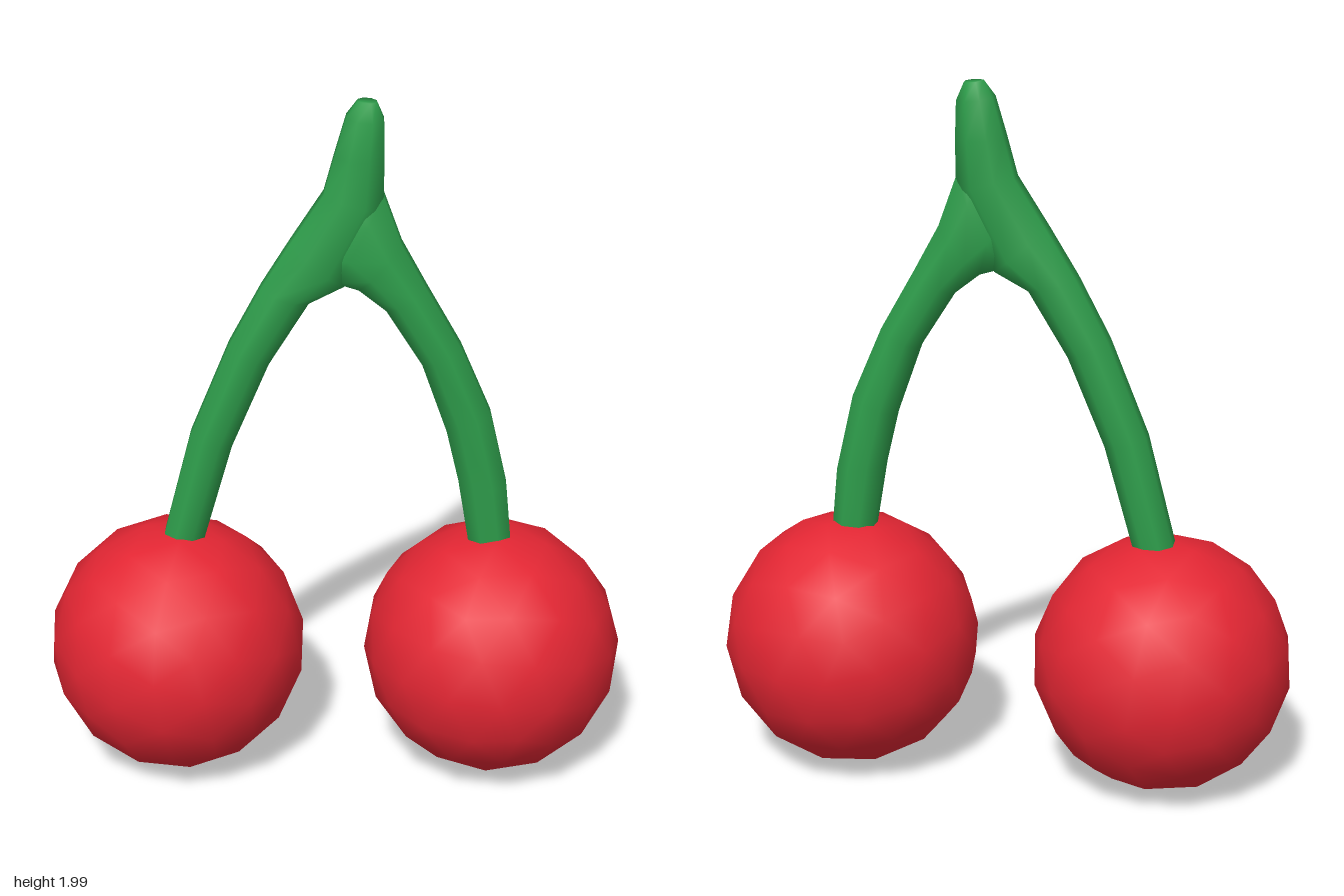
import * as THREE from 'three';

const SIDES = 8;

// Loft through rows of [outerX, outerY, innerX, innerY, halfDepth], running upward
function loft(rows, flip) {
  const pos = [], index = [];
  const k = 1 / Math.cos(Math.PI / SIDES);
  const tri = (a, b, c) => (flip ? index.push(a, c, b) : index.push(a, b, c));
  rows.forEach(([ox, oy, ix, iy, d]) => {
    for (let j = 0; j < SIDES; j++) {
      const a = ((j + 0.5) / SIDES) * Math.PI * 2;
      const c = (Math.cos(a) * k) / 2, s = Math.sin(a) * k * d;
      pos.push((ox + ix) / 2 + (ox - ix) * c, (oy + iy) / 2 + (oy - iy) * c, s * 0.97 - 0.003);
    }
  });
  for (let i = 0; i < rows.length - 1; i++) {
    for (let j = 0; j < SIDES; j++) {
      const a = i * SIDES + j, b = i * SIDES + ((j + 1) % SIDES);
      tri(a, b, b + SIDES);
      tri(a, b + SIDES, a + SIDES);
    }
  }
  // Close both ends
  const last = (rows.length - 1) * SIDES;
  for (let j = 1; j < SIDES - 1; j++) {
    tri(0, j + 1, j);
    tri(last, last + j, last + j + 1);
  }
  const g = new THREE.BufferGeometry();
  g.setAttribute('position', new THREE.Float32BufferAttribute(pos, 3));
  g.setIndex(index);
  g.computeVertexNormals();
  return g;
}

export function createModel() {
  const group = new THREE.Group();
  const red = new THREE.MeshStandardMaterial({ name: 'cherryRed', color: 0xe32633 });
  const green = new THREE.MeshStandardMaterial({ name: 'stemGreen', color: 0x2e9d4b });
  const add = (name, geometry, material) => {
    const mesh = new THREE.Mesh(geometry, material);
    mesh.name = name;
    group.add(mesh);
    return mesh;
  };

  // Fruits
  for (const [name, x, turn] of [['rightCherry', -0.452, 0.3], ['leftCherry', 0.45, 1.2]]) {
    const cherry = add(name, new THREE.IcosahedronGeometry(0.366, 2), red);
    cherry.position.set(x, 0.366, 0);
    cherry.rotation.set(0.2, turn, 0.15);
  }

  // Right branch, continuing into the upper stalk and its rounded tip
  add('rightBranchAndStalk', loft([
    [-0.495, 0.65, -0.38, 0.65, 0.06],
    [-0.48, 0.72, -0.365, 0.72, 0.06],
    [-0.4, 1.03, -0.285, 1.0, 0.061],
    [-0.29, 1.3, -0.18, 1.25, 0.062],
    [-0.2, 1.47, -0.07, 1.43, 0.063],
    [-0.12, 1.6, 0.025, 1.48, 0.064],
    [-0.03, 1.74, 0.13, 1.7, 0.064],
    [0.0, 1.85, 0.132, 1.84, 0.062],
    [0.03, 1.955, 0.13, 1.945, 0.05],
    [0.06, 1.998, 0.11, 1.995, 0.025],
  ], false), green);

  // Left branch, merging into the stalk
  add('leftBranch', loft([
    [0.497, 0.65, 0.385, 0.65, 0.06],
    [0.495, 0.72, 0.375, 0.72, 0.06],
    [0.48, 0.88, 0.345, 0.9, 0.061],
    [0.43, 1.1, 0.31, 1.05, 0.061],
    [0.345, 1.3, 0.24, 1.25, 0.062],
    [0.25, 1.47, 0.14, 1.41, 0.063],
    [0.18, 1.6, 0.065, 1.47, 0.063],
    [0.13, 1.74, 0.0, 1.49, 0.062],
    [0.1, 1.8, -0.06, 1.56, 0.04],
  ], true), green);

  return group;
}
